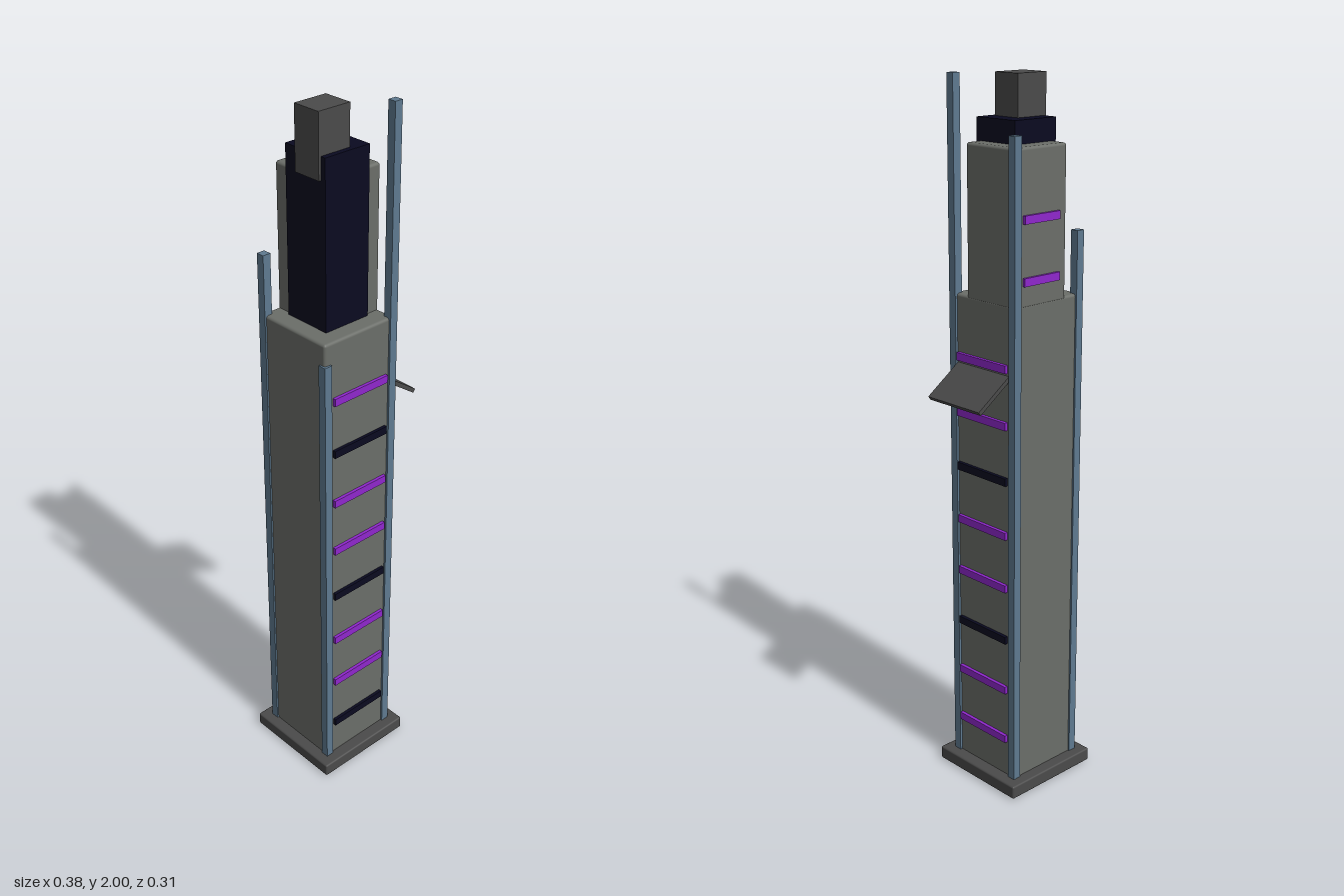
import * as THREE from 'three';
import { RoundedBoxGeometry } from 'three/addons/geometries/RoundedBoxGeometry.js';

const material = (name, color) => {
  const m = new THREE.MeshStandardMaterial({ color });
  m.name = name;
  return m;
};

export function createModel() {
  const model = new THREE.Group();
  model.name = 'tower';
  const concrete = material('concrete grey', 0x6b6e69);
  const darkGrey = material('dark grey', 0x4a4a4a);
  const navy = material('navy', 0x0a0a20);
  const purple = material('neon purple', 0x8f27cc);
  const steel = material('steel blue', 0x5f7a90);

  // Box given by its extents on each axis, optionally with rounded edges
  const block = (name, mat, [x0, x1], [y0, y1], [z0, z1], radius = 0) => {
    const size = [x1 - x0, y1 - y0, z1 - z0];
    const geometry = radius
      ? new RoundedBoxGeometry(...size, 2, radius)
      : new THREE.BoxGeometry(...size);
    const mesh = new THREE.Mesh(geometry, mat);
    mesh.name = name;
    mesh.position.set((x0 + x1) / 2, (y0 + y1) / 2, (z0 + z1) / 2);
    model.add(mesh);
    return mesh;
  };

  // Stacked masses
  block('base', darkGrey, [-0.192, 0.12], [0.003, 0.042], [-0.157, 0.155], 0.005);
  block('core', navy, [-0.108, 0.037], [0, 1.89], [-0.073, 0.07]);
  block('mainShaft', concrete, [-0.157, 0.083], [0.03, 1.43], [-0.123, 0.119], 0.008);
  block('upperShaft', concrete, [-0.1, 0.083], [1.42, 1.83], [-0.123, 0.062], 0.008);
  block('roofBox', darkGrey, [-0.115, -0.014], [1.83, 2], [-0.03, 0.055]);

  // Corner posts of different heights
  const posts = [
    [-0.15, 0.113, 1.37], [0.078, 0.113, 2],
    [-0.15, -0.116, 1.6], [0.078, -0.116, 1.86],
  ];
  for (const [x, z, top] of posts) {
    block('cornerPost', steel, [x - 0.012, x + 0.012], [0.03, top], [z - 0.012, z + 0.012]);
  }

  // Light strips on the front and left side, every third one dark
  for (let i = 0; i < 8; i++) {
    const y = 0.16 + i * 0.157;
    const span = [y - 0.011, y + 0.011];
    block('frontStrip', i % 3 === 0 ? navy : purple, [-0.13, 0.057], span, [0.115, 0.128]);
    block('sideStrip', i % 3 === 2 ? navy : purple, [0.079, 0.093], span, [-0.094, 0.096]);
  }

  // Two light strips on the back of the upper shaft
  for (const y of [1.49, 1.65]) {
    block('backStrip', purple, [-0.07, 0.057], [y - 0.011, y + 0.011], [-0.131, -0.119]);
  }

  // Sloping awning on the left side
  const awning = block('awning', darkGrey, [0.068, 0.2], [1.193, 1.205], [-0.1, 0.1]);
  awning.rotation.z = -0.61;
  awning.position.set(0.134, 1.198, 0);

  return model;
}
